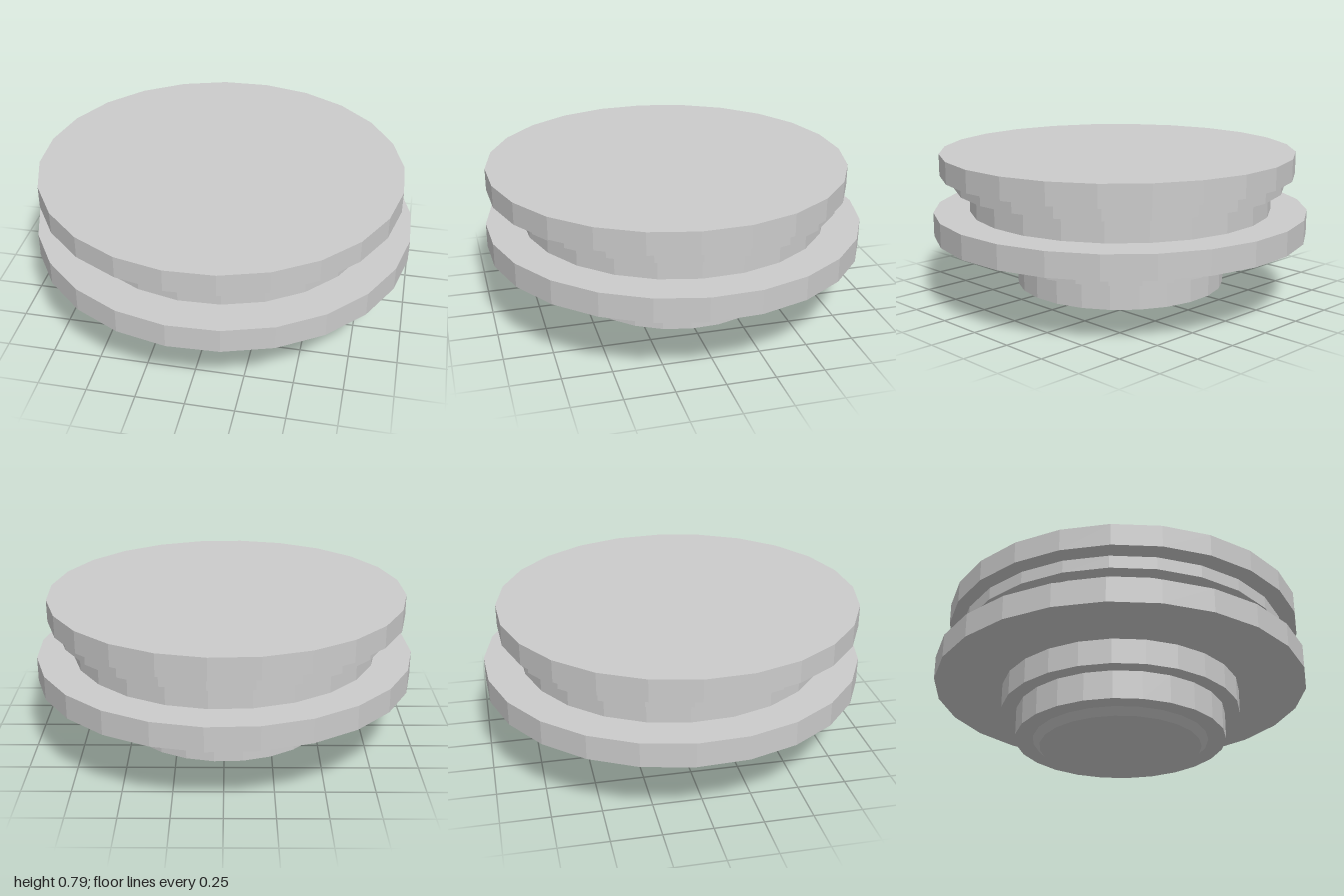
import * as THREE from 'three';

const SIDES = 24;
const START = THREE.MathUtils.degToRad(10);

export function createModel() {
  const model = new THREE.Group();
  model.name = 'steppedPlug';
  const material = new THREE.MeshStandardMaterial({ color: 0xcccccc, flatShading: true });

  // The whole stack leans very slightly
  const stack = new THREE.Group();
  stack.name = 'stack';
  stack.rotation.set(-0.003, 0, -0.003);
  model.add(stack);

  function disc(name, rTop, rBottom, y0, y1, x = 0, z = 0) {
    const geometry = new THREE.CylinderGeometry(rTop, rBottom, y1 - y0, SIDES, 1, false, START);
    const mesh = new THREE.Mesh(geometry, material);
    mesh.name = name;
    mesh.position.set(x, (y0 + y1) / 2, z);
    stack.add(mesh);
  }

  // Stepped discs: name, radius, bottom, top, x offset, z offset
  const steps = [
    ['lowerStep', 0.56, 0.073, 0.222, 0, 0],
    ['middleStep', 0.64, 0.222, 0.355, 0, 0],
    ['flange', 1.0, 0.355, 0.482, 0, 0],
    ['neck', 0.808, 0.482, 0.605, 0, 0],
    ['collar', 0.882, 0.605, 0.672, 0, 0.008],
    ['lid', 0.951, 0.672, 0.788, -0.012, 0.034],
  ];
  for (const [name, r, y0, y1, x, z] of steps) disc(name, r, r, y0, y1, x, z);

  // Chamfered foot closing in a shallow cone
  const profile = [[0, 0.004], [0.43, 0.037], [0.466, 0.073], [0, 0.073]];
  const foot = new THREE.Mesh(
    new THREE.LatheGeometry(profile.map(([r, y]) => new THREE.Vector2(r, y)), SIDES, START),
    material
  );
  foot.name = 'conicalFoot';
  stack.add(foot);

  return model;
}
